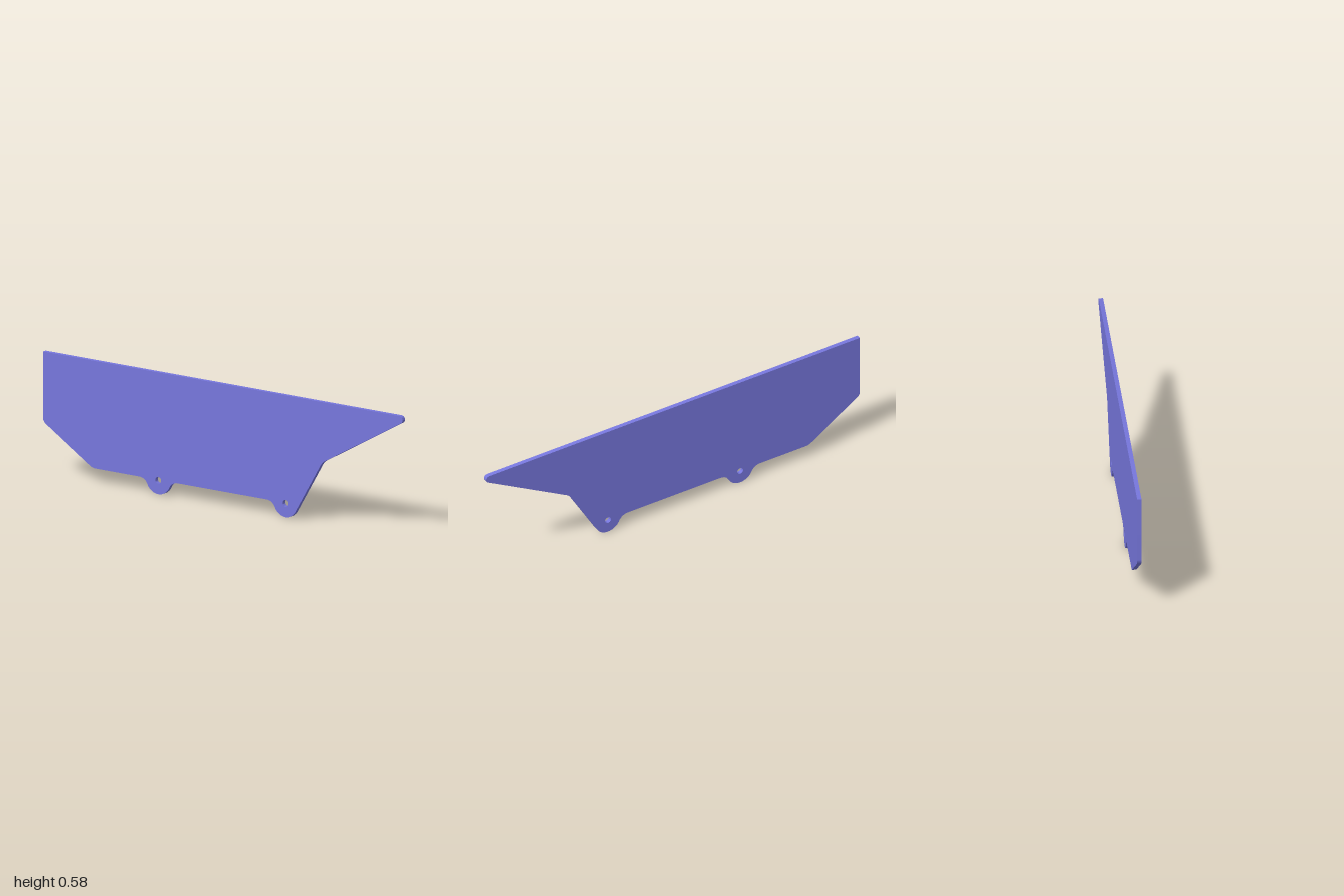
import * as THREE from 'three';
import { toCreasedNormals } from 'three/addons/utils/BufferGeometryUtils.js';

const TOP = 0.577, BASE = 0.068, THICK = 0.02;
const LUG_R = 0.066, FILLET_R = 0.05, HOLE_R = 0.016;
const LUGS = [-0.358, 0.348];

// Fillet centre offset and the angle at which it meets the lug
const dy = LUG_R - (BASE - FILLET_R);
const dx = Math.sqrt((LUG_R + FILLET_R) ** 2 - dy ** 2);
const meet = Math.atan2(dy, dx);

// Rounded lug hanging below the base edge, blended in with fillets
function addLug(shape, x, endAngle, blendOut) {
  const fy = BASE - FILLET_R;
  shape.lineTo(x - dx, BASE);
  shape.absarc(x - dx, fy, FILLET_R, Math.PI / 2, meet, true);
  shape.absarc(x, LUG_R, LUG_R, Math.PI + meet, endAngle, false);
  if (blendOut) shape.absarc(x + dx, fy, FILLET_R, Math.PI - meet, Math.PI / 2, true);
}

export function createModel() {
  const group = new THREE.Group();
  group.name = 'sidePlate';

  // Outline, counter-clockwise from the upper rear corner
  const s = new THREE.Shape();
  s.moveTo(-1, TOP);
  s.lineTo(-1, 0.265);
  s.quadraticCurveTo(-1, 0.246, -0.982, 0.235);
  s.lineTo(-0.735, 0.076);
  s.quadraticCurveTo(-0.722, BASE, -0.705, BASE);
  addLug(s, LUGS[0], 2 * Math.PI - meet, true);
  addLug(s, LUGS[1], 2 * Math.PI - Math.PI / 6, false);
  // Steep edge, soft inner corner, then the long slope to the rounded tip
  s.lineTo(0.545, 0.275);
  s.quadraticCurveTo(0.554, 0.291, 0.57, 0.3);
  s.absarc(0.982, TOP - 0.018, 0.018, -Math.PI / 3, Math.PI / 2, false);
  s.closePath();

  // Bolt holes through the lugs
  for (const x of LUGS) {
    const hole = new THREE.Path();
    hole.absarc(x, LUG_R, HOLE_R, 0, Math.PI * 2, true);
    s.holes.push(hole);
  }

  const geo = new THREE.ExtrudeGeometry(s, { depth: THICK, bevelEnabled: false, curveSegments: 20 });
  geo.translate(0, 0, -THICK / 2);
  const plate = new THREE.Mesh(
    toCreasedNormals(geo, 0.5),
    new THREE.MeshStandardMaterial({ color: 0x7777dd })
  );
  plate.name = 'plate';
  group.add(plate);
  return group;
}
